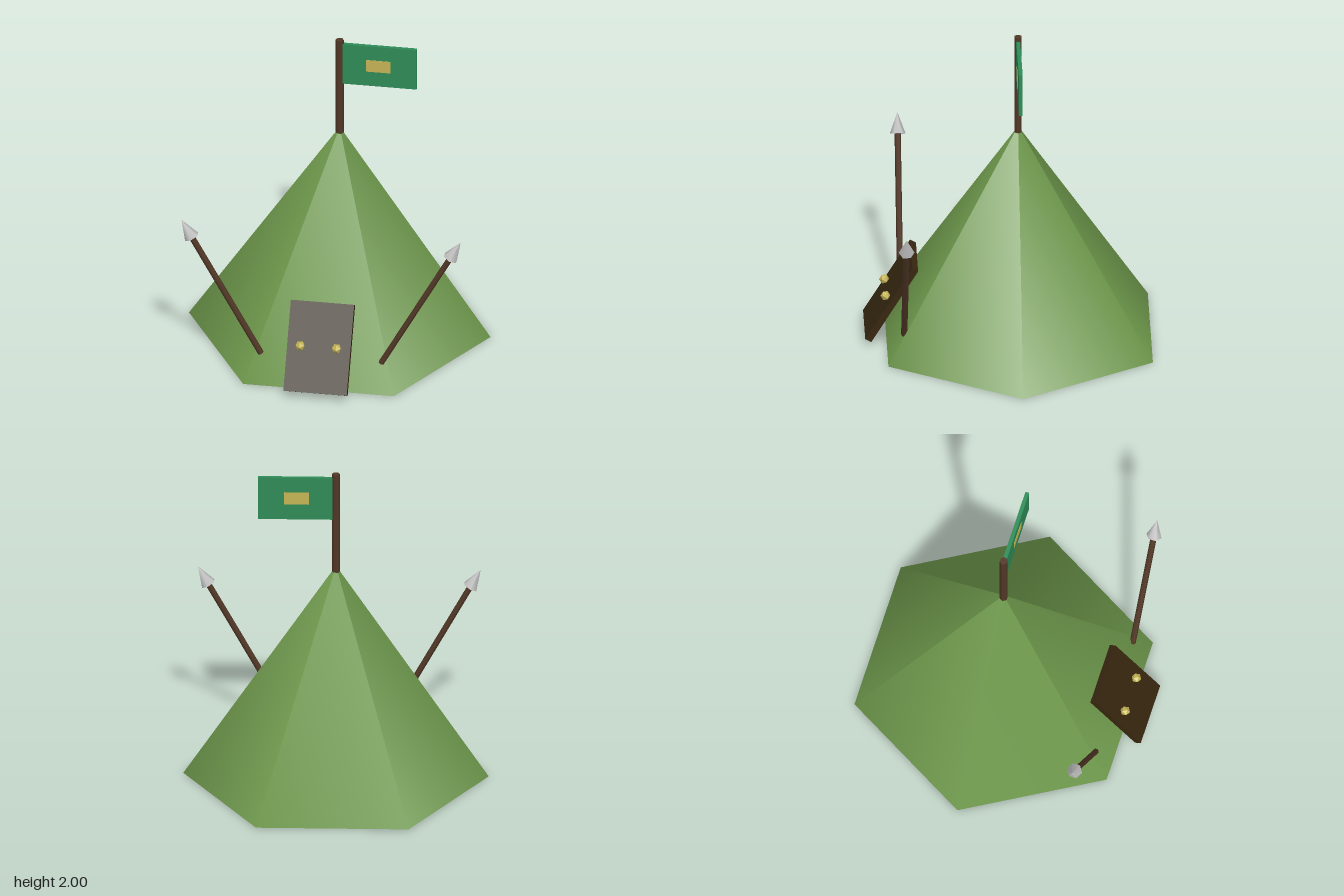
import * as THREE from 'three';

const mat = (name, color, flatShading = false) => {
  const m = new THREE.MeshStandardMaterial({ color, flatShading });
  m.name = name;
  return m;
};

export function createModel() {
  const model = new THREE.Group();
  model.name = 'tent';
  const canvas = mat('canvasGreen', 0x6c964a);
  const wood = mat('poleBrown', 0x523827);
  const doorWood = mat('doorBrown', 0x36260f);
  const cloth = mat('flagGreen', 0x2e8b57);
  const brass = mat('brass', 0xc4b454, true);
  const steel = mat('steel', 0xc0c0c0);

  const add = (parent, name, geometry, material, x = 0, y = 0, z = 0) => {
    const mesh = new THREE.Mesh(geometry, material);
    mesh.name = name;
    mesh.position.set(x, y, z);
    parent.add(mesh);
    return mesh;
  };

  // Six-sided tent, pole and flag share one axis
  const axisZ = -0.07;
  add(model, 'tentCanvas', new THREE.ConeGeometry(0.928, 1.39, 6, 1, false, Math.PI / 6), canvas, 0, 0.695, axisZ);
  add(model, 'flagPole', new THREE.CylinderGeometry(0.025, 0.025, 0.7, 6, 1, false, Math.PI / 6), wood, 0, 1.65, axisZ);
  add(model, 'flag', new THREE.BoxGeometry(0.455, 0.275, 0.024), cloth, 0.247, 1.838, axisZ);
  add(model, 'flagPatch', new THREE.BoxGeometry(0.15, 0.08, 0.03), brass, 0.24, 1.84, axisZ);

  // Door leaning against the front slope
  const door = new THREE.Group();
  door.name = 'door';
  door.position.set(0, 0.28, 0.705);
  door.rotation.x = -0.54;
  model.add(door);
  add(door, 'doorPanel', new THREE.BoxGeometry(0.39, 0.555, 0.042), doorWood);
  for (const side of [-1, 1]) {
    add(door, 'doorKnob', new THREE.IcosahedronGeometry(0.031, 0), brass, side * 0.112, 0.003, 0.043);
  }

  // Pair of spears leaning outwards
  for (const side of [-1, 1]) {
    const spear = new THREE.Group();
    spear.name = side > 0 ? 'leftSpear' : 'rightSpear';
    spear.position.set(side * 0.37, 0.17, 0.635);
    spear.rotation.z = -side * 0.503;
    model.add(spear);
    add(spear, 'spearShaft', new THREE.CylinderGeometry(0.019, 0.019, 0.9, 6), wood, 0, 0.45, 0);
    add(spear, 'spearHead', new THREE.ConeGeometry(0.048, 0.13, 6), steel, 0, 0.95, 0);
  }
  return model;
}
